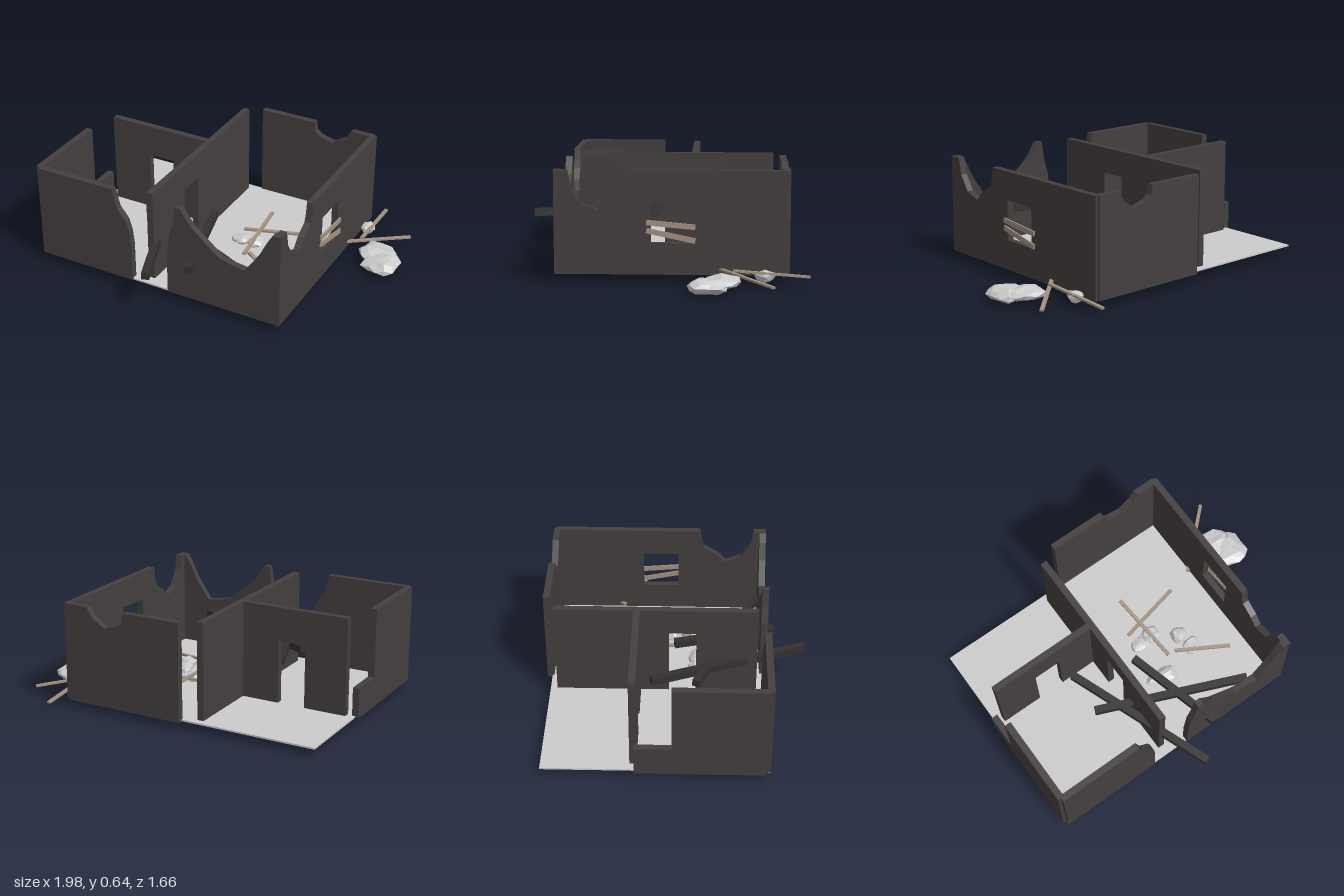
import * as THREE from 'three';

const mat = (color) => new THREE.MeshStandardMaterial({ color, flatShading: true });
const BASE = 0.06, TOP = 0.65, THICK = 0.04;

export function createModel() {
  const model = new THREE.Group();
  model.name = 'ruinedHouse';
  const wallMat = mat(0x453f3f), beamMat = mat(0x343030), woodMat = mat(0xa39180);
  const stoneMat = mat(0xcccccc), floorMat = mat(0xcccccc);

  const add = (name, geometry, material) => {
    const mesh = new THREE.Mesh(geometry, material);
    mesh.name = name;
    model.add(mesh);
    return mesh;
  };

  // Wall from an outline [along, height]; alongZ turns it to run front to back
  const wall = (name, outline, at, alongZ = false, hole = null) => {
    const v = (pts) => pts.map(([a, b]) => new THREE.Vector2(a, b));
    const shape = new THREE.Shape(v(outline));
    if (hole) shape.holes.push(new THREE.Path(v(hole)));
    const g = new THREE.ExtrudeGeometry(shape, { depth: THICK, bevelEnabled: false });
    g.translate(0, 0, -THICK / 2);
    if (alongZ) g.rotateY(-Math.PI / 2).translate(at, 0, 0);
    else g.translate(0, 0, at);
    return add(name, g, wallMat);
  };

  // Floor slab
  add('floor', new THREE.BoxGeometry(1.58, 0.01, 1.29), floorMat).position.set(-0.19, BASE + 0.006, -0.045);

  // Front wall: two pieces with broken edges either side of the entrance
  wall('frontWallRight', [
    [-0.98, BASE], [-0.345, BASE], [-0.345, 0.3], [-0.355, 0.39], [-0.375, 0.46],
    [-0.43, 0.53], [-0.445, 0.58], [-0.46, TOP], [-0.98, TOP],
  ], 0.585);
  wall('frontWallLeft', [
    [-0.105, BASE], [0.6, BASE], [0.6, TOP], [0.57, TOP], [0.54, 0.6], [0.49, 0.5], [0.4, 0.37],
    [0.32, 0.38], [0.24, 0.4], [0.13, 0.49], [0.06, 0.55], [0.03, 0.59], [-0.01, TOP],
    [-0.045, TOP], [-0.06, 0.54], [-0.09, 0.44], [-0.105, 0.27],
  ], 0.585);

  // Back wall with a bite out of its top
  wall('backWall', [
    [-0.15, BASE], [0.6, BASE], [0.6, TOP], [0.46, TOP], [0.42, 0.59], [0.34, 0.54],
    [0.25, 0.565], [0.22, 0.59], [0.21, TOP], [-0.15, TOP],
  ], -0.7);

  // Left side wall with a window and a broken top
  wall('leftWall', [
    [-0.71, BASE], [0.605, BASE], [0.605, TOP], [0.53, TOP], [0.51, 0.55], [0.45, 0.46],
    [0.355, 0.425], [0.305, 0.48], [0.22, 0.53], [0.205, 0.58], [0.195, TOP], [-0.71, TOP],
  ], 0.6, true, [[-0.16, 0.24], [0.06, 0.24], [0.06, 0.48], [-0.16, 0.48]]);

  // Right side wall, ending at half a window
  wall('rightWall', [
    [-0.16, BASE], [0.58, BASE], [0.58, TOP], [0.05, TOP], [0.05, 0.24], [-0.16, 0.24],
  ], -0.98, true);

  // Inner walls, each with a doorway
  wall('innerWall', [
    [-0.65, BASE], [0.02, BASE], [0.02, 0.49], [0.18, 0.49], [0.18, BASE],
    [0.54, BASE], [0.54, TOP], [-0.65, TOP],
  ], -0.25, true);
  wall('crossWall', [
    [-0.93, BASE], [-0.67, BASE], [-0.67, 0.45], [-0.5, 0.45], [-0.5, BASE],
    [-0.26, BASE], [-0.26, TOP], [-0.93, TOP],
  ], -0.167);

  // Bar stretched between two points
  const bar = (name, from, to, w, h, material) => {
    const a = new THREE.Vector3(...from), b = new THREE.Vector3(...to);
    const mesh = add(name, new THREE.BoxGeometry(w, h, a.distanceTo(b)), material);
    mesh.position.copy(a).add(b).multiplyScalar(0.5);
    mesh.lookAt(b);
  };

  // Fallen roof beams
  [
    [[-0.46, 0.29, -0.08], [-0.12, 0.29, 0.82]],
    [[-0.48, 0.29, 0.18], [0.38, 0.29, 0.545]],
    [[-0.1, 0.29, 0.05], [0.06, 0.29, 0.65]],
  ].forEach(([a, b]) => bar('beam', a, b, 0.045, 0.045, beamMat));

  // Boards nailed across the window
  bar('windowBoard', [0.625, 0.357, 0.085], [0.625, 0.332, -0.19], 0.01, 0.03, woodMat);
  bar('windowBoard', [0.625, 0.312, 0.085], [0.625, 0.254, -0.19], 0.01, 0.03, woodMat);

  // Loose planks among the rubble
  [
    [[0.09, 0.13, -0.36], [0.13, 0.1, 0.1]],
    [[0, 0.1, -0.15], [0.39, 0.13, -0.23]],
    [[0.17, 0.13, 0.11], [0.48, 0.08, 0.27]],
    [[0.685, 0.1, -0.4], [0.67, 0.065, -0.83]],
    [[0.56, 0.1, -0.28], [0.92, 0.055, -0.62]],
  ].forEach(([a, b]) => bar('plank', a, b, 0.022, 0.012, woodMat));

  // Faceted stones: [x, y, z, radius x, radius y, radius z]
  const stone = ([x, y, z, rx, ry, rz], seed) => {
    const g = new THREE.IcosahedronGeometry(1, 1);
    const p = g.attributes.position, d = new THREE.Vector3();
    for (let i = 0; i < p.count; i++) {
      d.fromBufferAttribute(p, i);
      const n = Math.sin(d.x * 5.1 + seed * 2.3) + Math.sin(d.y * 4.3 + seed) + Math.sin(d.z * 6.2 - seed * 1.7);
      d.multiplyScalar(0.95 + 0.09 * n);
      p.setXYZ(i, d.x * rx, d.y * ry, d.z * rz);
    }
    g.computeVertexNormals();
    add('stone', g, stoneMat).position.set(x, y, z);
  };
  [
    [0.03, 0.08, -0.06, 0.06, 0.035, 0.05],
    [0.12, 0.08, -0.08, 0.055, 0.04, 0.06],
    [0.04, 0.08, 0.19, 0.07, 0.04, 0.06],
    [-0.04, 0.075, 0.17, 0.045, 0.03, 0.035],
    [0.26, 0.08, 0.03, 0.06, 0.04, 0.06],
    [0.29, 0.08, 0.13, 0.06, 0.04, 0.06],
    [0.65, 0.065, -0.58, 0.05, 0.035, 0.055],
    [0.81, 0.062, -0.34, 0.12, 0.045, 0.1],
    [0.88, 0.055, -0.26, 0.11, 0.05, 0.12],
  ].forEach(stone);

  return model;
}
